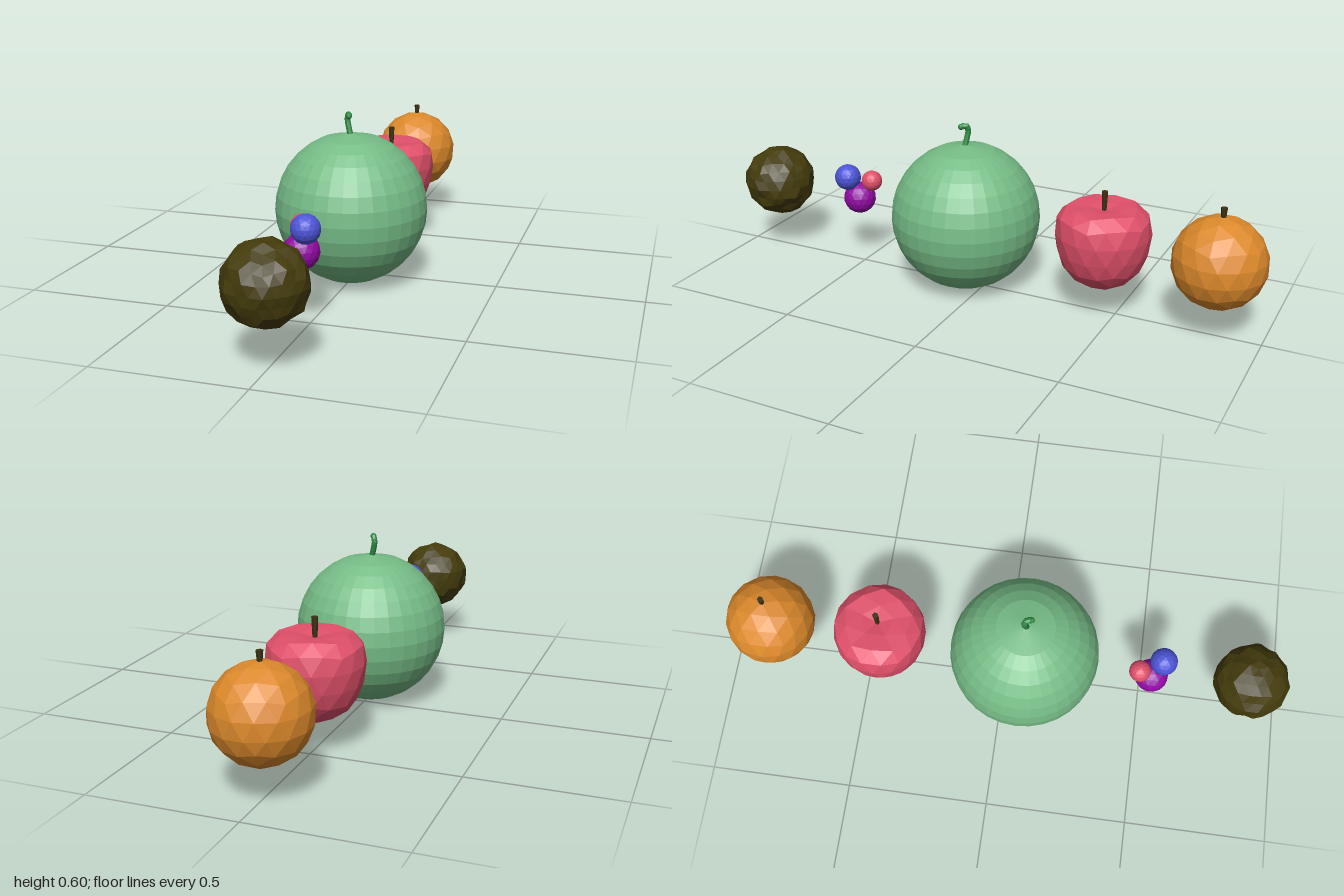
import * as THREE from 'three';

const mat = (name, color) => {
  const m = new THREE.MeshStandardMaterial({ color });
  m.name = name;
  return m;
};

// Faceted normals: every face gets its own corners
function faceted(geometry) {
  const g = geometry.index ? geometry.toNonIndexed() : geometry;
  g.computeVertexNormals();
  return g;
}

// Geodesic ball with a vertex on the pole, reshaped by rule(v) on unit directions
function ball(radius, detail, rule = (v) => v) {
  const g = new THREE.IcosahedronGeometry(1, detail);
  g.rotateZ(-0.5536);
  const p = g.attributes.position;
  const v = new THREE.Vector3();
  for (let i = 0; i < p.count; i++) {
    v.fromBufferAttribute(p, i);
    rule(v);
    p.setXYZ(i, v.x * radius, v.y * radius, v.z * radius);
  }
  return faceted(g);
}

// Repeatable noise by position, so shared corners move together
function noise(v) {
  const q = (n) => Math.round(n * 100);
  const s = Math.sin(q(v.x) * 12.99 + q(v.y) * 78.23 + q(v.z) * 37.72) * 437.585;
  return s - Math.floor(s);
}

export function createModel() {
  const group = new THREE.Group();
  const melonGreen = mat('melon green', 0x76bc86);
  const vineGreen = mat('vine green', 0x2f8a45);
  const appleRed = mat('apple red', 0xe0506a);
  const orange = mat('orange', 0xdc892b);
  const huskBrown = mat('husk brown', 0x443c0c);
  const stemBrown = mat('stem brown', 0x3c3212);
  const blue = mat('berry blue', 0x4c54d6);
  const purple = mat('berry purple', 0x920aa4);

  const add = (name, geometry, material, x, y, z) => {
    const mesh = new THREE.Mesh(geometry, material);
    mesh.name = name;
    mesh.position.set(x, y, z);
    group.add(mesh);
    return mesh;
  };

  // Melon: round profile with a shallow cone on top
  const R = 0.262;
  const profile = [];
  for (let i = 0; i <= 16; i++) {
    if (i === 15) continue;
    const a = (i / 16) * Math.PI;
    profile.push(new THREE.Vector2(i % 16 ? R * Math.sin(a) : 0, -R * Math.cos(a)));
  }
  add('melon', faceted(new THREE.LatheGeometry(profile, 32)), melonGreen, 0, 0.265, 0.07);

  // Hooked vine on the melon
  const vine = new THREE.CatmullRomCurve3([
    new THREE.Vector3(0, 0.515, 0.073),
    new THREE.Vector3(-0.009, 0.547, 0.069),
    new THREE.Vector3(-0.014, 0.575, 0.066),
    new THREE.Vector3(-0.008, 0.592, 0.072),
    new THREE.Vector3(-0.002, 0.587, 0.088),
  ]);
  add('melonVine', faceted(new THREE.TubeGeometry(vine, 10, 0.0105, 8)), vineGreen, 0, 0, 0);
  add('melonVineTip', ball(0.0105, 1), vineGreen, -0.002, 0.587, 0.088);

  // Apple: full shoulders and a dip at the top
  const appleShape = (v) => {
    if (v.y > 0) {
      const widen = 1 + 0.3 * v.y * Math.hypot(v.x, v.z);
      v.x *= widen;
      v.z *= widen;
      v.y = 1.15 * v.y - 0.45 * v.y ** 6;
    } else {
      v.y *= 1.06;
    }
  };
  add('apple', ball(0.157, 2, appleShape), appleRed, 0, 0.264, -0.445);

  add('orange', ball(0.157, 2), orange, 0, 0.267, -0.842);

  // Flared woody stems
  const stem = (name, bottom, top, z) => add(name,
    faceted(new THREE.CylinderGeometry(0.011, 0.007, top - bottom, 6)),
    stemBrown, 0, (top + bottom) / 2, z);
  stem('appleStem', 0.35, 0.442, -0.445);
  stem('orangeStem', 0.41, 0.455, -0.842);

  // Cluster of berries
  for (const [name, r, m, x, y, z] of [
    ['blueBerry', 0.048, blue, 0.008, 0.33, 0.554],
    ['purpleBerry', 0.059, purple, -0.018, 0.247, 0.522],
    ['redBerry', 0.038, appleRed, -0.032, 0.315, 0.476],
  ]) add(name, ball(r, 2), m, x, y, z);

  // Rough husked fruit
  const rough = (v) => v.multiplyScalar(0.95 + 0.09 * noise(v));
  add('huskFruit', ball(0.129, 3, rough), huskBrown, 0.002, 0.266, 0.869);

  return group;
}
